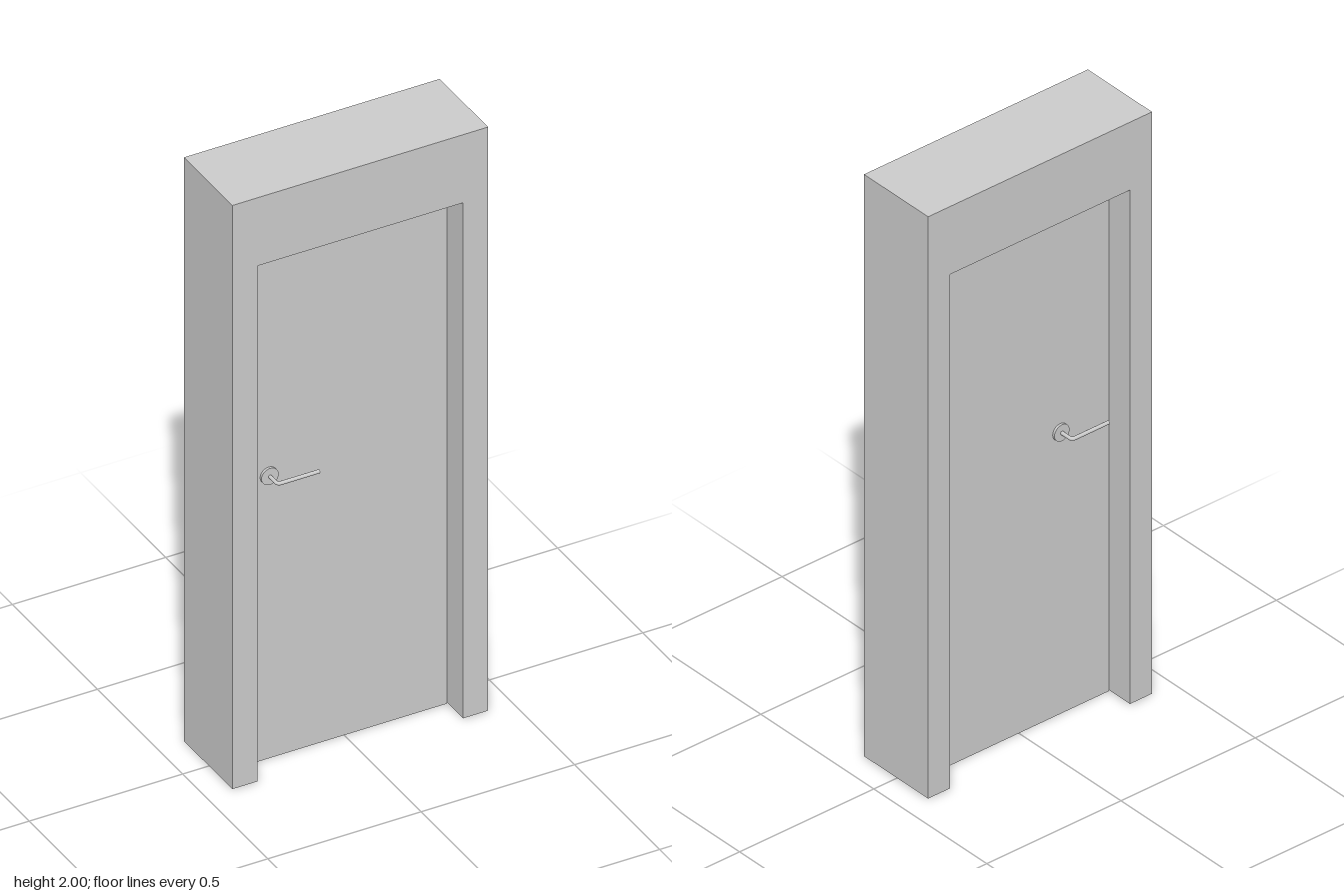
import * as THREE from 'three';

const material = new THREE.MeshStandardMaterial({ color: 0xcccccc });

function addMesh(parent, name, geometry, x = 0, y = 0, z = 0) {
  const mesh = new THREE.Mesh(geometry, material);
  mesh.name = name;
  mesh.position.set(x, y, z);
  parent.add(mesh);
  return mesh;
}

// Lever handle: origin on the door face, pointing out along +z, lever along +x
function createHandle(name) {
  const handle = new THREE.Group();
  handle.name = name;
  const r = 0.006, reach = 0.052, length = 0.136, bend = 0.012;

  addMesh(handle, 'rosette', new THREE.CylinderGeometry(0.028, 0.028, 0.008, 32), 0, 0, 0.004).rotation.x = Math.PI / 2;

  // Stem, rounded bend and grip as one bar
  const path = new THREE.CurvePath();
  const stemEnd = new THREE.Vector3(0, 0, reach - bend);
  const gripStart = new THREE.Vector3(bend, 0, reach);
  path.add(new THREE.LineCurve3(new THREE.Vector3(0, 0, 0), stemEnd));
  path.add(new THREE.QuadraticBezierCurve3(stemEnd, new THREE.Vector3(0, 0, reach), gripStart));
  path.add(new THREE.LineCurve3(gripStart, new THREE.Vector3(length, 0, reach)));
  addMesh(handle, 'lever', new THREE.TubeGeometry(path, 60, r, 16, false));
  addMesh(handle, 'leverCap', new THREE.CircleGeometry(r, 16), length, 0, reach).rotation.y = Math.PI / 2;
  return handle;
}

export function createModel() {
  const model = new THREE.Group();
  model.name = 'door';
  const halfWidth = 0.417, halfDepth = 0.142, base = 0.004;
  const openX = 0.335, openTop = 1.767, doorHalf = 0.048;

  // Deep surround with the doorway cut out of its lower edge
  const outline = [
    [-halfWidth, base], [-openX, base], [-openX, openTop], [openX, openTop],
    [openX, base], [halfWidth, base], [halfWidth, 2], [-halfWidth, 2],
  ].map(([x, y]) => new THREE.Vector2(x, y));
  const frame = new THREE.ExtrudeGeometry(new THREE.Shape(outline), { depth: halfDepth * 2, bevelEnabled: false });
  addMesh(model, 'frame', frame, 0, 0, -halfDepth);

  // Plain door leaf set in the middle of the surround
  addMesh(model, 'doorLeaf', new THREE.BoxGeometry(openX * 2, openTop, doorHalf * 2), 0, openTop / 2, 0);

  // Handles on both faces, the back one turned half a revolution
  const front = createHandle('frontHandle');
  front.position.set(-0.246, 0.968, doorHalf);
  const back = createHandle('backHandle');
  back.position.set(-0.154, 0.968, -doorHalf);
  back.rotation.y = Math.PI;
  model.add(front, back);

  return model;
}
